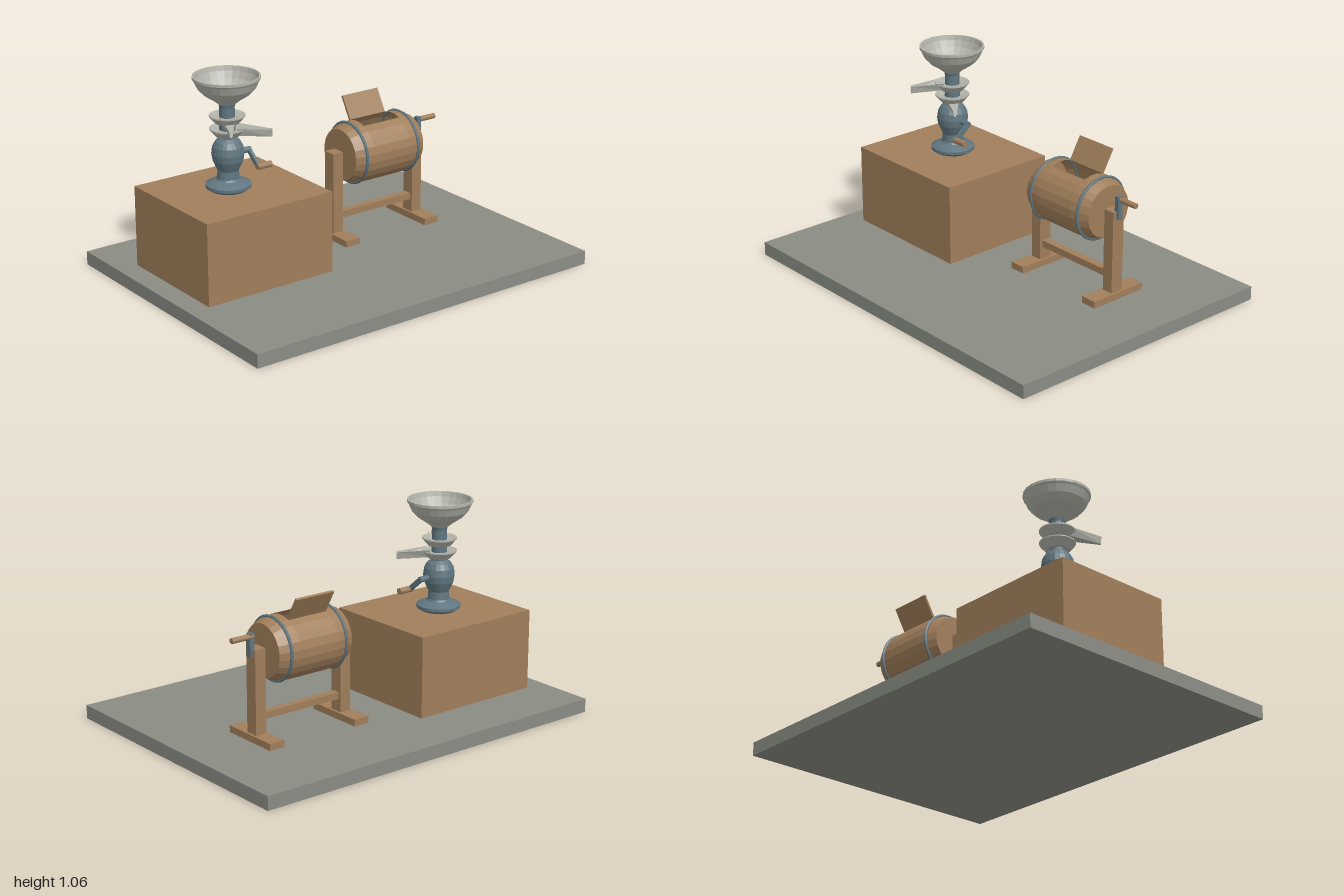
import * as THREE from 'three';

const wood = new THREE.MeshStandardMaterial({ color: 0xa07e5a, side: THREE.DoubleSide });
wood.name = 'wood';
const stone = new THREE.MeshStandardMaterial({ color: 0x8a8c84 });
stone.name = 'stone';
const iron = new THREE.MeshStandardMaterial({ color: 0x607680 });
iron.name = 'iron';
const tin = new THREE.MeshStandardMaterial({ color: 0xb2b3aa, side: THREE.DoubleSide });
tin.name = 'tin';

function add(parent, name, geometry, material, x = 0, y = 0, z = 0) {
  const mesh = new THREE.Mesh(geometry, material);
  mesh.name = name;
  mesh.position.set(x, y, z);
  parent.add(mesh);
  return mesh;
}

// Box given by its lower and upper corners
function block(parent, name, material, [x0, y0, z0], [x1, y1, z1]) {
  return add(parent, name, new THREE.BoxGeometry(x1 - x0, y1 - y0, z1 - z0), material,
    (x0 + x1) / 2, (y0 + y1) / 2, (z0 + z1) / 2);
}

// Faceted copy of a geometry
function flat(geometry) {
  const g = geometry.toNonIndexed();
  g.computeVertexNormals();
  return g;
}

function lathe(points, sides, start = 0, length = Math.PI * 2) {
  return flat(new THREE.LatheGeometry(points.map(([r, y]) => new THREE.Vector2(r, y)), sides, start, length));
}

// Round bar along x
function barX(parent, name, material, r, x0, x1, y, z) {
  const g = new THREE.CylinderGeometry(r, r, x1 - x0, 12).rotateZ(Math.PI / 2);
  return add(parent, name, g, material, (x0 + x1) / 2, y, z);
}

// Open tapered trough running along +z
function troughGeometry() {
  const section = (z, top, floor, y0, y1) => [[-top, y1, z], [-floor, y0, z], [floor, y0, z], [top, y1, z]];
  const a = section(0.05, 0.045, 0.03, 0, 0.04);
  const b = section(0.215, 0.012, 0.005, -0.014, 0.022);
  const v = [];
  for (let i = 0; i < 3; i++) {
    v.push(...a[i], ...b[i], ...b[i + 1], ...a[i], ...b[i + 1], ...a[i + 1]);
  }
  const g = new THREE.BufferGeometry();
  g.setAttribute('position', new THREE.Float32BufferAttribute(v, 3));
  g.computeVertexNormals();
  return g;
}

function createSeparator() {
  const group = new THREE.Group();
  group.name = 'separator';
  group.position.set(-0.545, 0, -0.14);

  // Foot, round gear housing and neck
  add(group, 'footFlange', lathe([[0, 0.485], [0.09, 0.485], [0.112, 0.5], [0.112, 0.515], [0.085, 0.528], [0.06, 0.537], [0.055, 0.545]], 24), iron);
  add(group, 'body', lathe([[0.055, 0.54], [0.052, 0.585], [0.062, 0.605], [0.075, 0.635], [0.08, 0.67],
    [0.075, 0.705], [0.06, 0.732], [0.04, 0.747], [0.037, 0.9], [0.044, 0.93]], 20), iron);

  // Collecting pans with their spouts
  [['lowerPan', 0.757, Math.atan2(0.19, 0.14)], ['upperPan', 0.822, Math.atan2(-0.107, 0.196)]].forEach(([name, y, turn]) => {
    add(group, name, lathe([[0.036, 0], [0.058, 0], [0.088, 0.034], [0.088, 0.04], [0.036, 0.03]], 20), tin, 0, y, 0);
    add(group, name + 'Spout', troughGeometry(), tin, 0, y + 0.008, 0).rotation.y = turn;
  });

  // Supply bowl
  add(group, 'bowl', lathe([[0, 0.918], [0.042, 0.918], [0.07, 0.94], [0.112, 0.968], [0.142, 1.0], [0.158, 1.035], [0.165, 1.045],
    [0.165, 1.058], [0.156, 1.058], [0.15, 1.035], [0.134, 1.002], [0.105, 0.974], [0.064, 0.948], [0, 0.935]], 24), tin);

  // Crank
  barX(group, 'crankShaft', iron, 0.015, 0.05, 0.128, 0.662, 0);
  const arm = add(group, 'crankArm', new THREE.BoxGeometry(0.016, 0.125, 0.024), iron, 0.122, 0.628, 0.04);
  arm.rotation.x = -Math.atan2(0.08, 0.067);
  barX(group, 'crankGrip', wood, 0.016, 0.114, 0.195, 0.595, 0.08);
  return group;
}

function createChurn() {
  const group = new THREE.Group();
  group.name = 'churn';
  const cx = 0.367, cy = 0.505, cz = -0.165;

  // Trestle
  for (const s of [-1, 1]) {
    const x = cx + s * 0.256;
    block(group, 'post', wood, [x - 0.03, 0.1, cz - 0.035], [x + 0.03, 0.53, cz + 0.035]);
    block(group, 'foot', wood, [x - 0.043, 0.07, cz - 0.16], [x + 0.043, 0.105, cz + 0.16]);
  }
  block(group, 'crossbar', wood, [cx - 0.23, 0.17, cz - 0.02], [cx + 0.23, 0.205, cz + 0.02]);

  // Hollow stave barrel, with three staves left out for the hatch
  const barrel = new THREE.Group();
  barrel.name = 'barrel';
  barrel.position.set(cx, cy, cz);
  barrel.rotation.z = -Math.PI / 2;
  group.add(barrel);
  const start = Math.PI * 1.625;
  for (const s of [-1, 1]) {
    const profile = [[0.16, 0.113 * s], [0.156, 0.163 * s], [0.133, 0.217 * s], [0, 0.217 * s]];
    if (s < 0) profile.reverse();
    add(barrel, 'barrelEnd', lathe(profile, 24, start), wood);
    const hoop = new THREE.CylinderGeometry(0.162, 0.162, 0.016, 24, 1, true);
    add(barrel, 'hoop', new THREE.TorusGeometry(0.157, 0.008, 6, 32).rotateX(Math.PI / 2), iron, 0, 0.163 * s, 0);
    hoop.dispose();
  }
  add(barrel, 'barrelStaves', lathe([[0.16, -0.113], [0.16, 0.113]], 21, start, Math.PI * 1.75), wood);

  // Open lid, hinged on the rear edge of the hatch
  const lid = add(group, 'lid', new THREE.BoxGeometry(0.224, 0.13, 0.012), wood, cx, 0.709, -0.256);
  lid.rotation.x = -Math.atan2(0.065, 0.113);

  // Axle and crank
  barX(group, 'axle', iron, 0.015, 0.138, 0.16, cy, cz);
  barX(group, 'axle', iron, 0.015, 0.575, 0.66, cy, cz);
  block(group, 'crankArm', iron, [0.64, 0.49, cz - 0.014], [0.665, 0.607, cz + 0.014]);
  barX(group, 'crankGrip', wood, 0.014, 0.642, 0.765, 0.59, cz - 0.003);
  return group;
}

export function createModel() {
  const model = new THREE.Group();
  model.name = 'dairyTools';
  block(model, 'floorSlab', stone, [-1, 0, -0.75], [1, 0.07, 0.75]);
  block(model, 'stand', wood, [-0.89, 0.07, -0.445], [-0.17, 0.485, 0.195]);
  model.add(createSeparator(), createChurn());
  return model;
}
